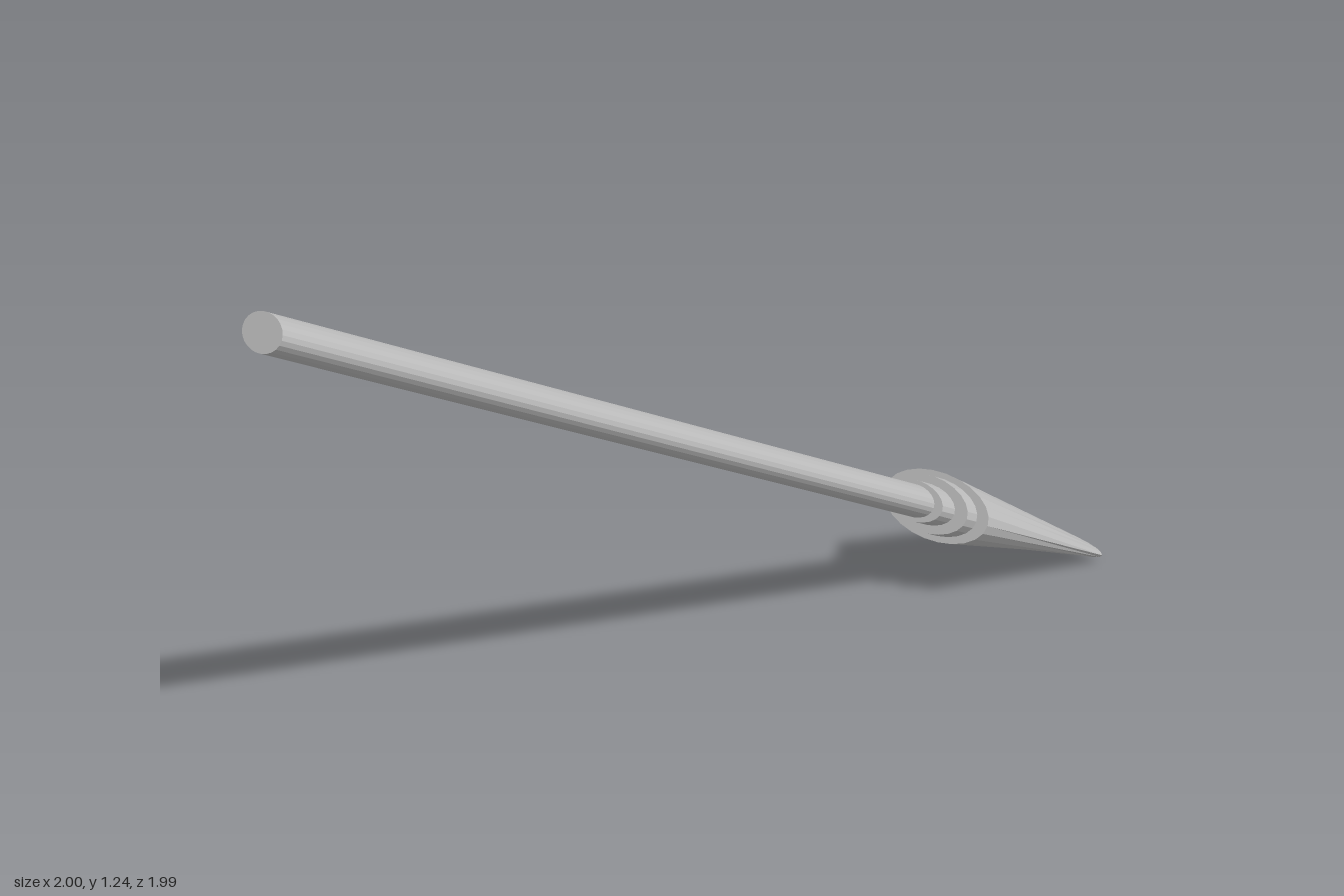
import * as THREE from 'three';

const SIDES = 24;

// Elliptical rod along +Y from y0 to y1: half-width w, half-thickness t0 -> t1
function ellipticRod(name, material, y0, y1, w, t0, t1 = t0) {
  const geometry = new THREE.CylinderGeometry(1, 1, 1, SIDES);
  const p = geometry.attributes.position;
  for (let i = 0; i < p.count; i++) {
    const k = p.getY(i) + 0.5;
    p.setXYZ(i, p.getX(i) * w, y0 + (y1 - y0) * k, p.getZ(i) * (t0 + (t1 - t0) * k));
  }
  geometry.computeVertexNormals();
  const mesh = new THREE.Mesh(geometry, material);
  mesh.name = name;
  return mesh;
}

export function createModel() {
  const grey = new THREE.MeshStandardMaterial({ color: 0xbcbcbc, flatShading: true });
  grey.name = 'plain grey';

  // The brush lies along one slanting axis, from the head tip up to the handle end
  const tip = new THREE.Vector3(0.863, 0.025, -0.863);
  const end = new THREE.Vector3(-0.945, 1.205, 0.94);
  const axis = end.clone().sub(tip);
  const length = axis.length();
  axis.normalize();
  const side = new THREE.Vector3(1, 0, 1).normalize();
  const normal = side.clone().cross(axis).normalize();
  side.crossVectors(axis, normal);

  const brush = new THREE.Group();
  brush.name = 'brush';
  brush.position.copy(tip);
  brush.quaternion.setFromRotationMatrix(new THREE.Matrix4().makeBasis(side, axis, normal));

  // Wedge head, stepped collars and long handle
  brush.add(
    ellipticRod('head', grey, 0, 0.537, 0.193, 0.027, 0.093),
    ellipticRod('lowerCollar', grey, 0.53, 0.579, 0.152, 0.077),
    ellipticRod('upperCollar', grey, 0.57, 0.632, 0.106, 0.055),
    ellipticRod('handle', grey, 0.62, length, 0.075, 0.044),
  );

  const model = new THREE.Group();
  model.name = 'model';
  model.add(brush);
  return model;
}
